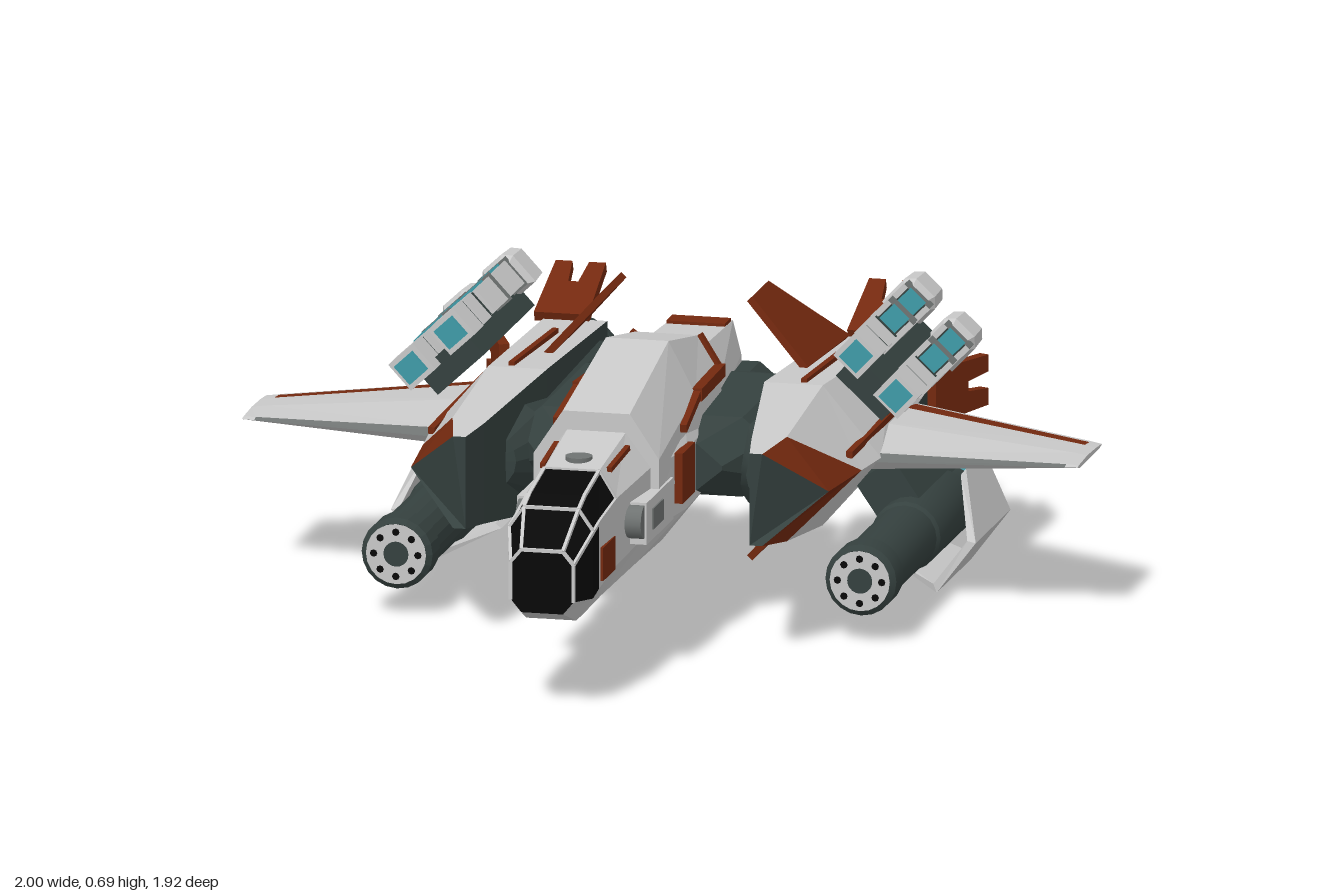
import * as THREE from 'three';
import { toCreasedNormals } from 'three/addons/utils/BufferGeometryUtils.js';

const paint = (name, color) => Object.assign(new THREE.MeshStandardMaterial({ color }), { name });
const white = paint('hull white', 0xc9c9c9);
const dark = paint('dark slate', 0x35413f);
const red = paint('rust red', 0x74290f);
const black = paint('canopy black', 0x080808);
const cyan = paint('glow cyan', 0x3f9ba8);
const grey = paint('mid grey', 0x6f7372);

function add(parent, name, geo, mat, x = 0, y = 0, z = 0) {
  const mesh = new THREE.Mesh(geo, mat);
  mesh.name = name;
  mesh.position.set(x, y, z);
  parent.add(mesh);
  return mesh;
}
const box = (parent, name, mat, size, pos) => add(parent, name, new THREE.BoxGeometry(...size), mat, ...pos);

// Thin strip between two points
function bar(parent, name, mat, a, b, w = 0.008) {
  const p = new THREE.Vector3(...a), q = new THREE.Vector3(...b);
  const m = box(parent, name, mat, [w, w, p.distanceTo(q)], p.clone().lerp(q, 0.5).toArray());
  m.lookAt(q);
}

// Skin over rings that run counter-clockwise seen from the first end; pick(i, j) colours each face
function loft(parent, name, rings, pick, capMats = [white, white]) {
  const buckets = new Map();
  const face = (mat, ...pts) => {
    if (!buckets.has(mat)) buckets.set(mat, []);
    buckets.get(mat).push(...pts.flat());
  };
  const n = rings[0].length, last = rings[rings.length - 1];
  for (let i = 0; i + 1 < rings.length; i++) {
    for (let j = 0; j < n; j++) {
      const k = (j + 1) % n, a = rings[i], b = rings[i + 1];
      face(pick(i, j), a[j], b[j], b[k], a[j], b[k], a[k]);
    }
  }
  for (let j = 1; j + 1 < n; j++) {
    face(capMats[0], rings[0][0], rings[0][j], rings[0][j + 1]);
    face(capMats[1], last[0], last[j + 1], last[j]);
  }
  const geo = new THREE.BufferGeometry(), pos = [], mats = [...buckets.keys()];
  mats.forEach((m, i) => {
    geo.addGroup(pos.length / 3, buckets.get(m).length / 3, i);
    for (const v of buckets.get(m)) pos.push(v);
  });
  geo.setAttribute('position', new THREE.Float32BufferAttribute(pos, 3));
  geo.computeVertexNormals();
  return add(parent, name, geo, mats);
}

// Symmetric ring from the right half profile, bottom to top
const symRing = (z, half) => [...half.map(([x, y]) => [x, y, z]), ...half.slice().reverse().map(([x, y]) => [-x, y, z])];

// Turned part lying along z; profile is [radius, distance backwards]
function turned(parent, name, mat, profile, x, y, z = 0, sides = 20) {
  const geo = new THREE.LatheGeometry(profile.map(p => new THREE.Vector2(...p)), sides).rotateX(-Math.PI / 2);
  return add(parent, name, toCreasedNormals(geo, 0.6), mat, x, y, z);
}

// Baked mirror copy across x
function mirrored(group, name) {
  const out = new THREE.Group();
  out.name = name;
  group.updateMatrixWorld(true);
  group.traverse(o => {
    if (!o.isMesh) return;
    const g = o.geometry.index ? o.geometry.toNonIndexed() : o.geometry.clone();
    g.applyMatrix4(new THREE.Matrix4().makeScale(-1, 1, 1).multiply(o.matrixWorld));
    const p = g.attributes.position.array;
    for (let i = 0; i < p.length; i += 9)
      for (let c = 3; c < 6; c++) [p[i + c], p[i + c + 3]] = [p[i + c + 3], p[i + c]];
    g.deleteAttribute('normal');
    g.computeVertexNormals();
    add(out, o.name, g, o.material);
  });
  return out;
}

function buildFuselage(root) {
  const f = new THREE.Group();
  f.name = 'fuselage';
  root.add(f);
  // z, bottom half width, bottom y, half width, lower y, upper y, top half width, top y
  const rows = [[0.96, 0.05, 0.25, 0.075, 0.28, 0.37, 0.05, 0.4], [0.87, 0.06, 0.215, 0.1, 0.27, 0.43, 0.065, 0.48],
    [0.81, 0.065, 0.22, 0.1, 0.28, 0.44, 0.065, 0.5], [0.67, 0.07, 0.228, 0.105, 0.3, 0.46, 0.065, 0.525],
    [0.43, 0.09, 0.245, 0.13, 0.33, 0.48, 0.07, 0.56], [0.2, 0.1, 0.25, 0.16, 0.33, 0.47, 0.08, 0.58],
    [-0.1, 0.09, 0.27, 0.15, 0.33, 0.47, 0.08, 0.6], [-0.62, 0.06, 0.31, 0.09, 0.37, 0.5, 0.07, 0.58]];
  const rings = rows.map(([z, bw, y0, w, ya, yb, tw, y1]) => symRing(z, [[bw, y0], [w, ya], [w, yb], [tw, y1]]));
  loft(f, 'hull', rings, (i, j) => {
    if (i < 3 && j > 1 && j < 5) return black;
    return i < 2 && (j === 1 || j === 5) ? black : white;
  }, [black, dark]);
  // Canopy frame
  for (const j of [2, 3, 4, 5]) for (let i = 0; i < 3; i++) bar(f, 'canopyFrame', white, rings[i][j], rings[i + 1][j]);
  for (const i of [1, 3]) for (const j of [2, 3, 4]) bar(f, 'canopyHoop', white, rings[i][j], rings[i][j + 1]);
  for (const j of [1, 2, 3, 4, 5]) bar(f, 'noseFrame', white, rings[0][j], rings[0][j + 1]);
  add(f, 'topHatch', new THREE.CylinderGeometry(0.032, 0.032, 0.012, 16), grey, 0, 0.536, 0.6);
  // Raised shroud behind the cockpit
  loft(f, 'shroud', [symRing(0.43, [[0.15, 0.4], [0.15, 0.5], [0.08, 0.605]]), symRing(0.03, [[0.155, 0.42], [0.14, 0.56], [0.075, 0.685]]),
    symRing(-0.26, [[0.14, 0.42], [0.125, 0.55], [0.075, 0.63]])], () => white);
  // Rear spine with its red patch and small exhaust
  box(f, 'spinePatch', red, [0.14, 0.008, 0.06], [0, 0.586, -0.57]);
  turned(f, 'sternNozzle', grey, [[0.045, 0.6], [0.045, 0.66], [0.025, 0.66], [0.02, 0.61]], 0, 0.47, 0, 12).material = grey;
  for (const s of [-1, 1]) {
    bar(f, 'shroudStripe', red, [s * 0.15, 0.52, 0.2], [s * 0.142, 0.56, 0.03], 0.02);
    bar(f, 'shroudStripe', red, [s * 0.14, 0.56, 0.03], [s * 0.125, 0.55, -0.26], 0.03);
    bar(f, 'shroudStripe', red, [s * 0.125, 0.55, -0.26], [s * 0.075, 0.63, -0.26], 0.02);
    box(f, 'nosePatch', red, [0.008, 0.08, 0.12], [s * 0.103, 0.335, 0.74]);
    bar(f, 'cockpitStripe', red, [s * 0.085, 0.535, 0.47], [s * 0.08, 0.52, 0.63], 0.012);
    box(f, 'cheek', white, [0.05, 0.1, 0.26], [s * 0.13, 0.38, 0.44]);
    box(f, 'cheekPlate', grey, [0.008, 0.05, 0.1], [s * 0.155, 0.38, 0.47]);
    add(f, 'cheekDisc', new THREE.CylinderGeometry(0.04, 0.04, 0.06, 14).rotateZ(Math.PI / 2), grey, s * 0.12, 0.385, 0.57);
    box(f, 'flankPatch', red, [0.02, 0.12, 0.12], [s * 0.16, 0.42, 0.22]);
  }
  // Dark cross housing that carries both nacelles
  const oct = (z, w, y0, y1) => symRing(z, [[w - 0.06, y0], [w, y0 + 0.05], [w, y1 - 0.05], [w - 0.06, y1]]);
  loft(f, 'crossHousing', [oct(0.1, 0.22, 0.35, 0.46), oct(-0.02, 0.3, 0.31, 0.5), oct(-0.45, 0.3, 0.31, 0.5),
    oct(-0.5, 0.2, 0.32, 0.49), oct(-0.64, 0.19, 0.33, 0.48)], () => dark, [dark, dark]);
}

function buildNacelle(g) {
  const cx = 0.375, cy = 0.39;
  // Angular shell, red at the leading edge
  const shell = [
    [[0.34, 0.28, 0.32], [0.37, 0.28, 0.32], [0.5, 0.39, 0.2], [0.37, 0.5, 0.32], [0.34, 0.5, 0.32]],
    [[0.32, 0.27, 0.22], [0.4, 0.265, 0.2], [0.525, 0.39, -0.02], [0.4, 0.515, 0.2], [0.32, 0.51, 0.22]],
    [[0.26, 0.22, -0.15], [0.4, 0.22, -0.15], [0.54, 0.39, -0.15], [0.4, 0.555, -0.15], [0.26, 0.555, -0.15]],
    [[0.27, 0.26, -0.78], [0.42, 0.26, -0.78], [0.49, 0.39, -0.78], [0.42, 0.52, -0.78], [0.27, 0.52, -0.78]]];
  loft(g, 'nacelleShell', shell, (i, j) => j === 4 ? dark : i === 0 && (j === 1 || j === 2) ? red : white, [dark, dark]);
  bar(g, 'ridgeStripe', red, [0.5, 0.43, 0.0], [0.5, 0.435, -0.6], 0.016);
  bar(g, 'topSlit', red, [0.35, 0.556, -0.17], [0.35, 0.535, -0.6], 0.014);
  turned(g, 'innerBarrel', dark, [[0, -0.1], [0.07, -0.09], [0.13, 0.02], [0.13, 0.7], [0.11, 0.8]], 0.345, cy, 0, 16);
  // Engine with open nozzle
  turned(g, 'engine', dark, [[0.115, 0.7], [0.115, 0.88], [0.1, 0.94], [0.065, 0.94]], cx, cy);
  turned(g, 'nozzleBore', grey, [[0.065, 0.94], [0.055, 0.86], [0, 0.86]], cx, cy);
  // Notched flaps around the nozzle
  const s = new THREE.Shape([[-0.065, 0], [0.065, 0], [0.06, 0.21], [0.02, 0.21], [0.012, 0.13], [-0.012, 0.13], [-0.02, 0.21], [-0.06, 0.21]]
    .map(p => new THREE.Vector2(...p)));
  for (const turn of [0, -Math.PI / 2, Math.PI]) {
    const geo = new THREE.ExtrudeGeometry(s, { depth: 0.025, bevelEnabled: false });
    geo.rotateX(-Math.PI / 2).rotateX(0.38).translate(0, 0.125, -0.765).rotateZ(turn);
    add(g, 'nozzleFlap', geo, red, cx, cy);
  }
  // Upper and lower inward fins
  const fin = (p, q) => [[p[0] + 0.006, p[1] + 0.006, p[2]], [q[0] + 0.006, q[1] + 0.006, q[2]],
    [q[0] - 0.006, q[1] - 0.006, q[2]], [p[0] - 0.006, p[1] - 0.006, p[2]]];
  const top = [fin([0.17, 0.695, -0.375], [0.17, 0.695, -0.535]), fin([0.31, 0.54, -0.35], [0.32, 0.53, -0.72])];
  const low = top.map(r => r.map(([x, y, z]) => [x, 0.77 - y, z]).reverse());
  loft(g, 'upperFin', top, () => red, [red, red]);
  loft(g, 'lowerFin', low, () => red, [red, red]);
}

function buildWing(g) {
  // [fraction from front to back, height factor]
  const section = (x, zf, zb, h) => [[0, 0], [0.1, -0.8], [0.88, -0.7], [1, 0], [0.92, 0.3], [0.75, 0.7], [0.4, 1], [0.06, 0.4]]
    .map(([t, k]) => [x, 0.383 + k * h, zf + (zb - zf) * t]);
  const skin = [white, dark, white, white, red, white, white, grey];
  loft(g, 'wing', [section(1, -0.19, -0.43, 0.007), section(0.97, -0.187, -0.45, 0.01), section(0.46, -0.12, -0.73, 0.04)],
    (i, j) => i === 0 ? white : skin[j]);
}

function buildUpperPods(g) {
  for (const [x, y] of [[0.485, 0.635], [0.58, 0.545]]) {
    const pod = new THREE.Group();
    pod.name = 'upperPod';
    pod.position.set(x, y, 0);
    pod.rotation.z = -0.75;
    g.add(pod);
    const part = (name, mat, w, z0, z1) => box(pod, name, mat, [w, w, z0 - z1], [0, 0, (z0 + z1) / 2]);
    part('podCore', dark, 0.068, -0.14, -0.7);
    part('podMuzzle', cyan, 0.056, -0.12, -0.15);
    part('podFront', white, 0.08, -0.135, -0.22);
    part('podMiddle', white, 0.076, -0.24, -0.31);
    for (const z of [-0.48, -0.64]) part('podBand', grey, 0.082, z + 0.015, z - 0.015);
    for (const z of [-0.4, -0.56]) {
      box(pod, 'podLight', cyan, [0.05, 0.008, 0.13], [0, 0.036, z]);
      for (const s of [-1, 1]) box(pod, 'podRail', white, [0.014, 0.07, 0.13], [s * 0.036, 0, z]);
    }
    const ring = (r, z) => [[-r, -r], [r, -r], [r, r * 0.6], [r * 0.6, r], [-r * 0.6, r], [-r, r * 0.6]].map(p => [...p, z]);
    loft(pod, 'podTail', [ring(0.036, -0.63), ring(0.05, -0.67), ring(0.046, -0.76), ring(0.028, -0.81)], () => white, [white, grey]);
  }
  const mount = box(g, 'podMount', dark, [0.15, 0.07, 0.5], [0.5, 0.545, -0.44]);
  mount.rotation.z = -0.75;
}

function buildLowerCannon(g) {
  const x = 0.555, y = 0.16;
  turned(g, 'cannonBarrel', dark, [[0, -0.1], [0.05, -0.1], [0.072, -0.12], [0.085, -0.11], [0.085, -0.04], [0.076, -0.03],
    [0.076, 0.32], [0.083, 0.33], [0.083, 0.66], [0.07, 0.69], [0.07, 0.77]], x, y);
  turned(g, 'cannonGlow', cyan, [[0.07, 0.75], [0.077, 0.76], [0.077, 0.82], [0.07, 0.83]], x, y);
  turned(g, 'cannonDome', dark, [[0.07, 0.81], [0.085, 0.82], [0.08, 0.86], [0.05, 0.895], [0, 0.9]], x, y);
  // Muzzle plate with a ring of ports
  add(g, 'muzzlePlate', new THREE.RingGeometry(0.03, 0.072, 20), white, x, y, 0.122);
  for (let i = 0; i < 8; i++) {
    const a = i * Math.PI / 4;
    add(g, 'muzzlePort', new THREE.CircleGeometry(0.009, 8), black, x + Math.cos(a) * 0.053, y + Math.sin(a) * 0.053, 0.124);
  }
  const pylon = box(g, 'cannonPylon', dark, [0.11, 0.12, 0.36], [0.5, 0.25, -0.56]);
  pylon.rotation.z = 0.6;
  // Folded guard plate outside the cannon: x, y, front z, back z
  const rings = [[0.645, 0.275, -0.55, -0.73], [0.7, 0.13, -0.42, -0.76], [0.61, 0.01, -0.405, -0.74], [0.45, 0.085, -0.48, -0.7]]
    .map(([px, py, f, b]) => {
      const ix = px + (x - px) * 0.14, iy = py + (y - py) * 0.14;
      return [[px, py, f], [px, py, b], [ix, iy, b], [ix, iy, f]];
    });
  loft(g, 'cannonGuard', rings, () => white);
}

export function createModel() {
  const root = new THREE.Group();
  root.name = 'spacecraft';
  buildFuselage(root);
  const left = new THREE.Group();
  left.name = 'leftSide';
  for (const build of [buildNacelle, buildWing, buildUpperPods, buildLowerCannon]) build(left);
  root.add(left, mirrored(left, 'rightSide'));
  return root;
}
